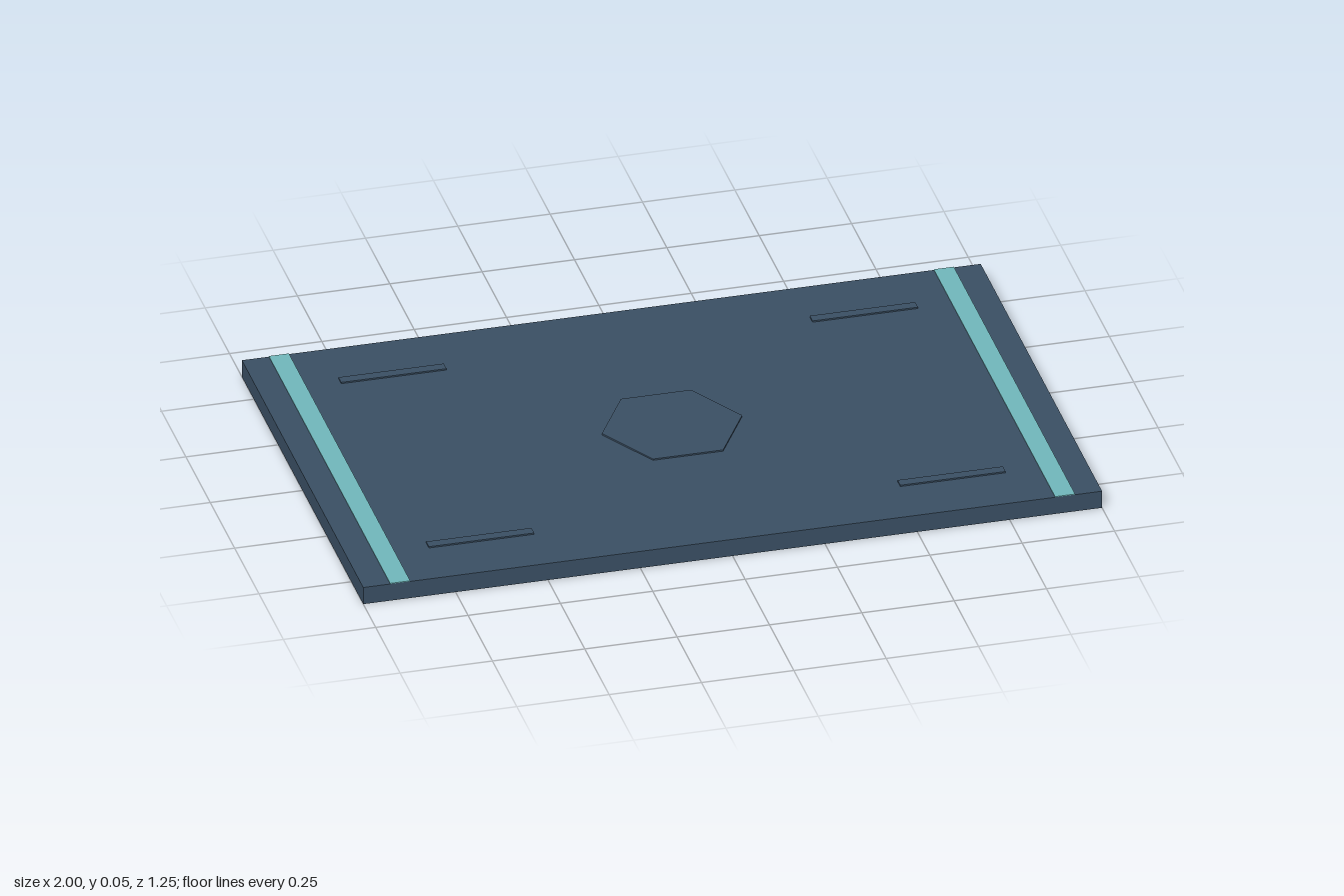
import * as THREE from 'three';

export function createModel() {
  const model = new THREE.Group();
  const slate = new THREE.MeshStandardMaterial({ color: 0x3a4f63 });
  slate.name = 'slate blue';
  const teal = new THREE.MeshStandardMaterial({ color: 0x70b7bb });
  teal.name = 'pale teal';

  const width = 2, depth = 1.245, top = 0.05;

  function add(name, geometry, material, x, y, z) {
    const mesh = new THREE.Mesh(geometry, material);
    mesh.name = name;
    mesh.position.set(x, y, z);
    model.add(mesh);
    return mesh;
  }

  // Main slab
  add('slab', new THREE.BoxGeometry(width, top, depth), slate, 0, top / 2, 0);

  // Raised hexagon in the middle, with points along x
  const raise = 0.004;
  const hexagon = new THREE.CylinderGeometry(0.19, 0.19, raise, 6).toNonIndexed();
  hexagon.rotateY(Math.PI / 2);
  hexagon.computeVertexNormals();
  add('centreHexagon', hexagon, slate, 0, top + raise / 2, 0);

  for (const side of [1, -1]) {
    const label = side > 0 ? 'left' : 'right';

    // Coloured stripe across each end
    add(label + 'Stripe', new THREE.BoxGeometry(0.054, 0.002, depth), teal, side * 0.9, top + 0.001, 0);

    // Thin raised bars near the corners
    for (const end of [1, -1]) {
      add(label + (end > 0 ? 'Front' : 'Back') + 'Bar',
        new THREE.BoxGeometry(0.285, raise, 0.028), slate, side * 0.638, top + raise / 2, end * 0.45);
    }
  }

  return model;
}
